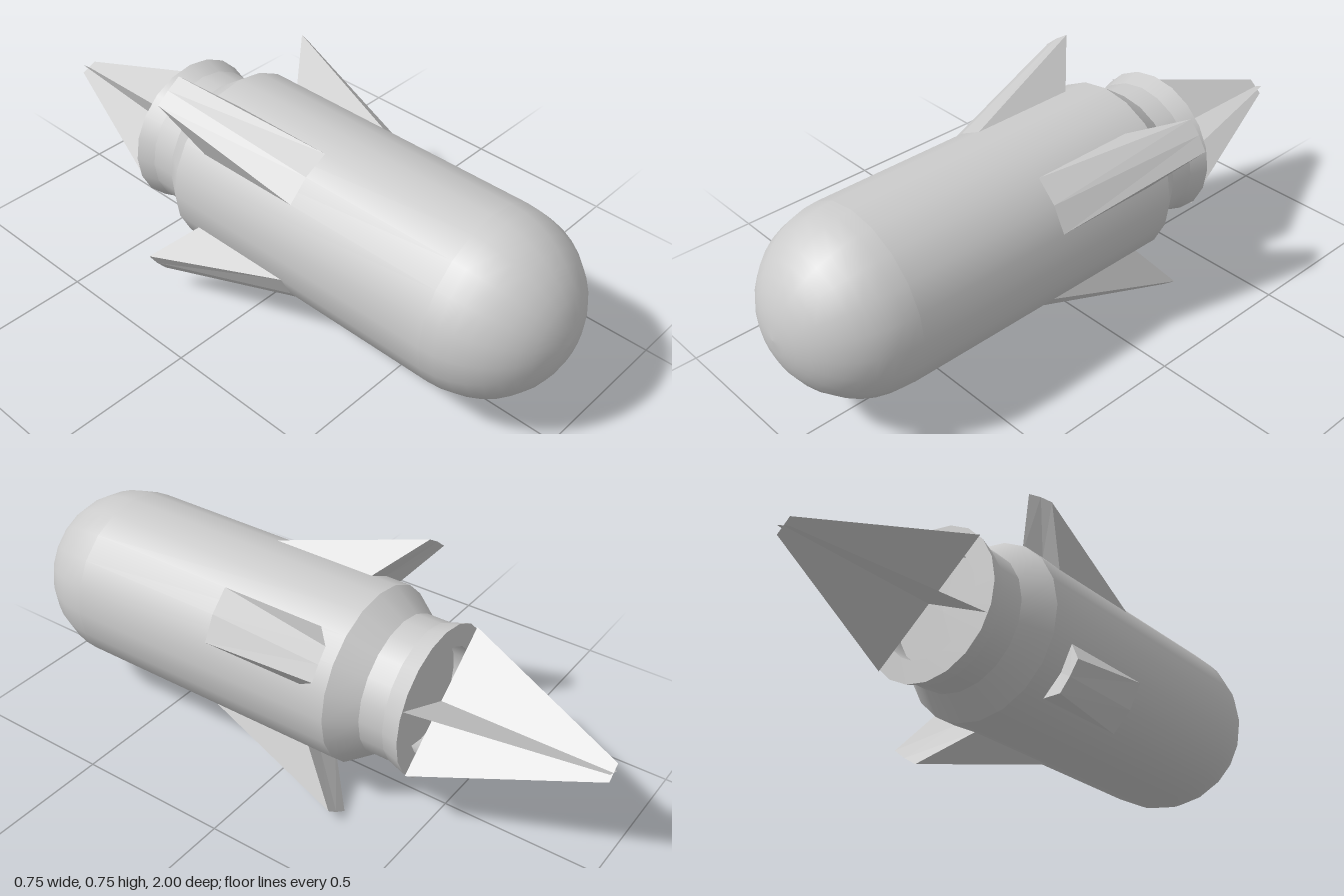
import * as THREE from 'three';

const CY = 0.378, R = 0.283, SIDES = 20;
const grey = new THREE.MeshStandardMaterial({ color: 0xcccccc });
const flat = new THREE.MeshStandardMaterial({ color: 0xcccccc, flatShading: true });
const thin = new THREE.MeshStandardMaterial({ color: 0xcccccc, flatShading: true, side: THREE.DoubleSide });

// Surface of revolution about z; points are [radius, z], back to front
function turned(name, points) {
  const geo = new THREE.LatheGeometry(points.map(([r, z]) => new THREE.Vector2(r, z)), SIDES);
  geo.rotateX(Math.PI / 2);
  const mesh = new THREE.Mesh(geo, grey);
  mesh.name = name;
  return mesh;
}

// Geometry from polygons, each fanned into triangles
function polygons(faces) {
  const pos = [];
  for (const f of faces)
    for (let i = 1; i < f.length - 1; i++) pos.push(...f[0], ...f[i], ...f[i + 1]);
  const geo = new THREE.BufferGeometry();
  geo.setAttribute('position', new THREE.Float32BufferAttribute(pos, 3));
  geo.computeVertexNormals();
  return geo;
}

const polar = (r, deg, z) => {
  const a = THREE.MathUtils.degToRad(deg);
  return [r * Math.cos(a), r * Math.sin(a), z];
};

// Swept wedge fin centred on angle 0, rooted on the hull
function finGeometry() {
  const front = [-18, 0, 18].map(a => polar(R, a, 0.2));
  const root = [-18, 0, 18].map(a => polar(R, a, -0.15));
  const tip = [-7, 0, 7].map(a => polar(0.43, a, -0.27));
  const faces = [[front[0], root[0], tip[0]], [front[2], tip[2], root[2]]];
  for (let i = 0; i < 2; i++) {
    faces.push([front[i], tip[i], tip[i + 1], front[i + 1]]);
    faces.push([root[i], root[i + 1], tip[i + 1], tip[i]]);
  }
  return polygons(faces);
}

export function createModel() {
  const model = new THREE.Group();
  model.name = 'finnedCapsule';
  const add = mesh => { mesh.position.y = CY; model.add(mesh); return mesh; };

  // Rounded nose
  const nose = [];
  for (let i = 0; i <= 10; i++) {
    const a = (i / 10) * Math.PI / 2;
    nose.push([i === 10 ? 0 : R * Math.cos(a), 0.717 + R * Math.sin(a)]);
  }
  add(turned('nose', nose));

  // Hull, shoulder and nozzle, split at the hard edges
  add(turned('hull', [[R, -0.235], [R, 0.717]]));
  add(turned('shoulder', [[0.222, -0.32], [R, -0.235]]));
  add(turned('nozzleNeck', [[0.222, -0.4], [0.222, -0.32]]));
  add(turned('nozzleFlare', [[0.24, -0.46], [0.222, -0.4]]));
  add(turned('nozzleRim', [[0.17, -0.46], [0.24, -0.46]]));
  add(turned('nozzleWall', [[0.17, -0.4], [0.17, -0.46]]));
  add(turned('nozzleFloor', [[0, -0.4], [0.17, -0.4]]));

  // Four fins around the hull
  const finGeo = finGeometry();
  for (let k = 0; k < 4; k++) {
    const fin = add(new THREE.Mesh(finGeo, flat));
    fin.name = 'fin' + (k + 1);
    fin.rotation.z = THREE.MathUtils.degToRad(36 + 90 * k);
  }

  // Crossed flame blades tapering from the nozzle
  [[0.215, 0.095], [-0.185, 0.157]].forEach(([x, y], i) => {
    const t = 0.12;
    const blade = add(new THREE.Mesh(polygons([[
      [x, y, -0.46], [-x, -y, -0.46], [-x * t, -y * t, -1], [x * t, y * t, -1],
    ]]), thin));
    blade.name = 'flameBlade' + (i + 1);
  });
  return model;
}
